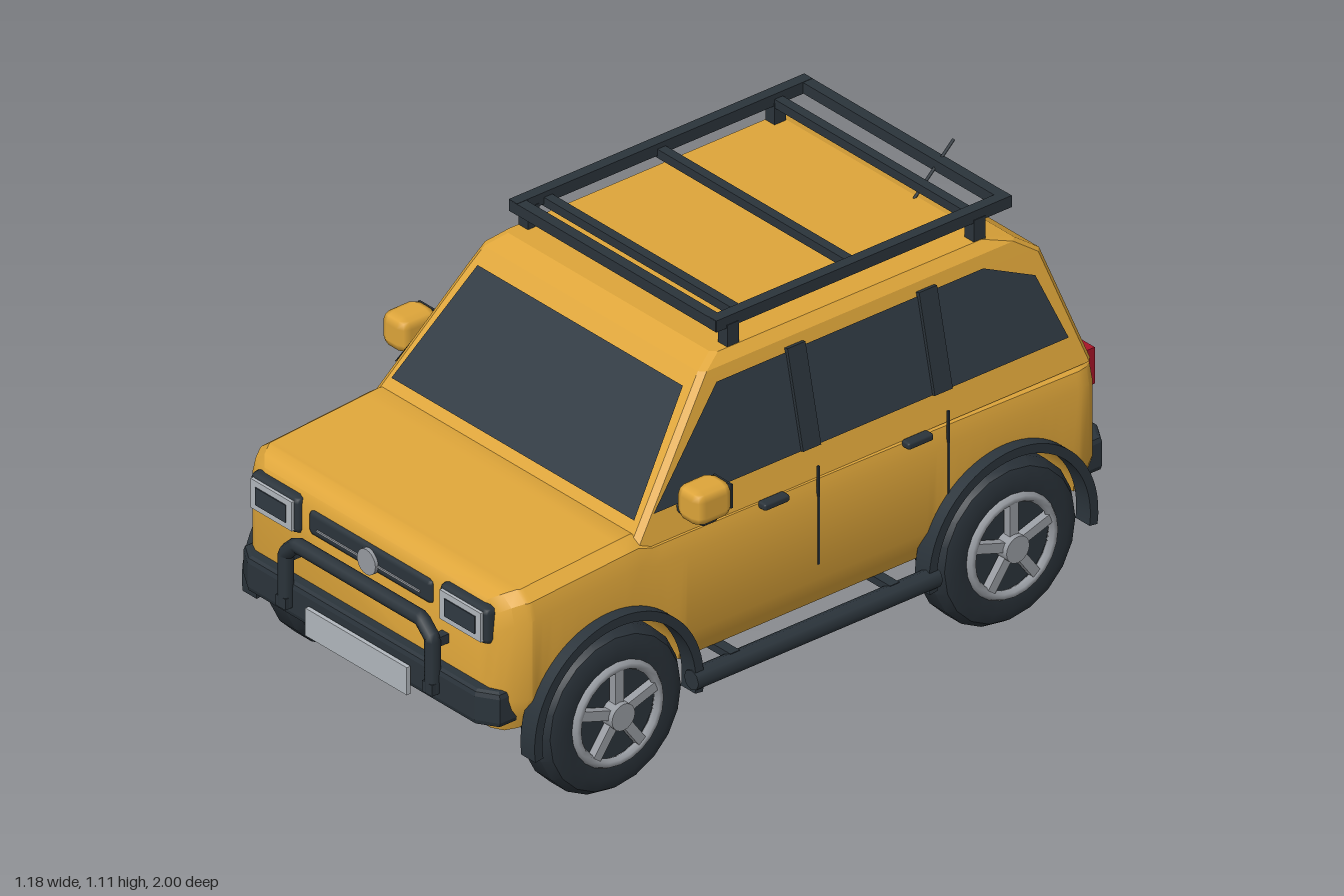
import * as THREE from 'three';
import { toCreasedNormals } from 'three/addons/utils/BufferGeometryUtils.js';
import { RoundedBoxGeometry } from 'three/addons/geometries/RoundedBoxGeometry.js';

const make = (name, color) => {
  const m = new THREE.MeshStandardMaterial({ color });
  m.name = name;
  return m;
};

// Skin a list of equal-length closed rings and cap both ends
function loft(rings, crease = 0.5) {
  const n = rings[0].length, pos = rings.flat(2), idx = [];
  rings.slice(1).forEach((_, r) => {
    for (let i = 0; i < n; i++) {
      const a = r * n + i, b = r * n + (i + 1) % n;
      idx.push(a, b, b + n, a, b + n, a + n);
    }
  });
  const last = (rings.length - 1) * n;
  for (let i = 1; i < n - 1; i++) idx.push(0, i + 1, i, last, last + i, last + i + 1);
  // Make the faces point outwards whatever the ring direction
  const p = i => new THREE.Vector3().fromArray(pos, i * 3);
  let volume = 0;
  for (let i = 0; i < idx.length; i += 3) volume += p(idx[i]).dot(p(idx[i + 1]).cross(p(idx[i + 2])));
  if (volume < 0) idx.reverse();
  const g = new THREE.BufferGeometry();
  g.setAttribute('position', new THREE.Float32BufferAttribute(pos, 3));
  g.setIndex(idx);
  return toCreasedNormals(g, crease);
}

// Flat convex pane through 3D corner points
function pane(pts) {
  const g = new THREE.BufferGeometry(), idx = [];
  g.setAttribute('position', new THREE.Float32BufferAttribute(pts.flat(), 3));
  for (let i = 1; i < pts.length - 1; i++) idx.push(0, i, i + 1);
  g.setIndex(idx);
  g.computeVertexNormals();
  return g;
}

export function createModel() {
  const paint = make('yellow paint', 0xdfa63a), trim = make('dark trim', 0x2b343b);
  const rubber = make('tyre rubber', 0x293138), glass = make('dark glass', 0x303a43);
  const alloy = make('grey alloy', 0x989ca2), pale = make('pale grey', 0xb2b8be);
  const red = make('red lamp', 0xa81428), white = make('white lamp', 0xd8dadc);
  glass.side = THREE.DoubleSide;

  const car = new THREE.Group();
  car.name = 'offRoadCar';
  const add = (name, geo, mat, x = 0, y = 0, z = 0, parent = car) => {
    const m = new THREE.Mesh(geo, mat);
    m.name = name;
    m.position.set(x, y, z);
    parent.add(m);
    return m;
  };
  const box = (name, mat, w, h, d, x, y, z, parent) => add(name, new THREE.BoxGeometry(w, h, d), mat, x, y, z, parent);
  const rod = (name, mat, a, b, r) => {
    const A = new THREE.Vector3(...a), B = new THREE.Vector3(...b), dir = B.clone().sub(A);
    const m = add(name, new THREE.CylinderGeometry(r, r, dir.length(), 8), mat);
    m.position.copy(A.add(B).multiplyScalar(0.5));
    m.quaternion.setFromUnitVectors(new THREE.Vector3(0, 1, 0), dir.normalize());
    return m;
  };

  // Lower body: sections along z, floor raised over the wheels
  const axles = [0.62, -0.615], axleY = 0.227, archR = 0.245;
  const stations = [[0.935, 0.43, 0.27, 0.572], [0.922, 0.457, 0.25, 0.6], [0.9, 0.483, 0.245, 0.617], [0.872, 0.5, 0.25, 0.626]];
  const topAt = z => z > 0.52 ? 0.65 - (z - 0.52) * 0.07 : 0.635 + Math.min(0, z) * 0.015;
  axles.forEach(c => {
    for (let i = 0; i <= 14; i++) {
      const a = THREE.MathUtils.degToRad(7 + i * 166 / 14), z = c + archR * Math.cos(a);
      stations.push([z, 0.505, axleY + archR * Math.sin(a), topAt(z)]);
    }
  });
  stations.push([-0.885, 0.5, 0.26, 0.622], [-0.912, 0.48, 0.265, 0.618], [-0.928, 0.45, 0.275, 0.6]);
  const bodyRing = ([z, w, bottom, top]) => {
    const side = [0.24, 0.29, 0.34, top - 0.07].map((y, i) => {
      const h = Math.max(y, bottom + i * 0.001);
      return [w - Math.max(0, 0.34 - h) * 0.4, h];
    });
    side.push([w - 0.012, top - 0.025], [w - 0.045, top]);
    return [...side.map(([x, y]) => [x, y, z]), ...side.reverse().map(([x, y]) => [-x, y, z])];
  };
  add('lowerBody', loft(stations.map(bodyRing)), paint);

  // Cabin: chamfered rectangles stacked in y
  const cabin = [[0.61, 0.54, -0.908, 0.49], [0.92, 0.29, -0.808, 0.42], [0.968, 0.25, -0.74, 0.408], [0.993, 0.195, -0.66, 0.385]];
  const c = 0.015;
  add('cabin', loft(cabin.map(([y, f, b, w]) => [
    [w, f - c], [w - c, f], [c - w, f], [-w, f - c], [-w, b + c], [c - w, b], [w - c, b], [w, b + c],
  ].map(([x, z]) => [x, y, z])), 0.3), paint);

  // Glass
  const frontZ = y => 0.545 - (y - 0.61) * 0.806, backZ = y => -0.913 + (y - 0.61) * 0.3226;
  const sideX = y => 0.495 - (y - 0.61) * 0.2258;
  const trapezoid = (z, y0, w0, y1, w1) => pane([[-w0, y0, z(y0)], [w0, y0, z(y0)], [w1, y1, z(y1)], [-w1, y1, z(y1)]]);
  add('windscreen', trapezoid(frontZ, 0.672, 0.447, 0.934, 0.378), glass);
  add('rearWindow', trapezoid(backZ, 0.665, 0.435, 0.865, 0.395), glass);
  rod('rearWiper', trim, [0, 0.66, -0.907], [0.16, 0.725, -0.885], 0.005);

  const sideGlass = [[0.46, 0.69], [0.215, 0.938], [-0.62, 0.938], [-0.77, 0.87], [-0.84, 0.69]];
  for (const s of [1, -1]) {
    add('sideWindows', pane(sideGlass.map(([z, y]) => [s * sideX(y), y, z])), glass);
    for (const z of [-0.03, -0.442]) {
      box('windowPillar', trim, 0.012, 0.265, 0.056, s * (sideX(0.82) + 0.003), 0.82, z).rotation.z = s * 0.222;
    }
    // Door seams and handles
    box('doorSeam', trim, 0.006, 0.27, 0.006, s * 0.504, 0.515, -0.033);
    box('doorSeam', trim, 0.006, 0.23, 0.006, s * 0.504, 0.535, -0.44);
    for (const z of [0.107, -0.343]) add('doorHandle', new RoundedBoxGeometry(0.03, 0.02, 0.08, 1, 0.007), trim, s * 0.505, 0.606, z);

    // Mirrors
    add('mirrorHousing', new RoundedBoxGeometry(0.09, 0.095, 0.115, 1, 0.026), paint, s * 0.543, 0.72, 0.357);
    box('mirrorGlass', trim, 0.066, 0.066, 0.006, s * 0.543, 0.722, 0.299);
    add('mirrorArm', new RoundedBoxGeometry(0.11, 0.026, 0.05, 1, 0.008), trim, s * 0.515, 0.677, 0.36);

    // Running boards
    rod('runningBoard', trim, [s * 0.528, 0.227, 0.385], [s * 0.528, 0.227, -0.38], 0.027);
    for (const z of [0.25, -0.25]) box('boardBracket', trim, 0.09, 0.02, 0.03, s * 0.485, 0.245, z);

    // Headlamps
    add('headlampFrame', new RoundedBoxGeometry(0.182, 0.104, 0.05, 1, 0.018), trim, s * 0.348, 0.538, 0.925);
    box('headlampRim', pale, 0.152, 0.08, 0.012, s * 0.348, 0.538, 0.95);
    box('headlampLens', glass, 0.112, 0.048, 0.008, s * 0.348, 0.538, 0.955);

    // Tail lamps
    box('tailLamp', red, 0.088, 0.1, 0.045, s * 0.412, 0.567, -0.917);
    box('reverseLamp', white, 0.075, 0.018, 0.006, s * 0.412, 0.545, -0.94);
  }

  // Grille and badge disc
  add('grille', new RoundedBoxGeometry(0.456, 0.068, 0.03, 1, 0.014), trim, 0, 0.541, 0.93);
  box('grilleBar', alloy, 0.38, 0.005, 0.006, 0, 0.532, 0.946);
  add('grilleDisc', new THREE.CylinderGeometry(0.034, 0.034, 0.014, 20).rotateX(Math.PI / 2), alloy, 0, 0.533, 0.947);

  // Bumpers: plan shape extruded in height
  const plan = new THREE.Shape([[-0.46, 0.88], [0.46, 0.88], [0.46, 0.93], [0.415, 0.958], [-0.415, 0.958], [-0.46, 0.93]]
    .map(p => new THREE.Vector2(...p)));
  const bumper = new THREE.ExtrudeGeometry(plan, { depth: 0.065, bevelSize: 0.012, bevelThickness: 0.016, bevelSegments: 2 })
    .rotateX(Math.PI / 2);
  add('frontBumper', bumper, trim, 0, 0.353, 0);
  add('rearBumper', bumper, trim, 0, 0.36, -0.012).rotation.y = Math.PI;
  box('frontPlate', pale, 0.374, 0.076, 0.012, 0, 0.298, 0.98);

  // Bull bar
  const barPath = new THREE.CurvePath();
  const barPts = [[-0.27, 0.305], [-0.27, 0.45], [-0.23, 0.488], [0.23, 0.488], [0.27, 0.45], [0.27, 0.305]]
    .map(([x, y]) => new THREE.Vector3(x, y, 0.976));
  for (let i = 0; i < 5; i++) barPath.add(new THREE.LineCurve3(barPts[i], barPts[i + 1]));
  add('bullBar', new THREE.TubeGeometry(barPath, 80, 0.02, 8), trim);
  for (const s of [1, -1]) {
    box('bullBarFoot', trim, 0.036, 0.03, 0.06, s * 0.27, 0.318, 0.963);
    box('bullBarStay', trim, 0.025, 0.025, 0.06, s * 0.27, 0.44, 0.95);
  }

  // Tailgate details and tow hitch
  add('tailgateHandle', new RoundedBoxGeometry(0.1, 0.022, 0.03, 1, 0.008), trim, 0, 0.603, -0.928);
  box('rearPlateFrame', trim, 0.175, 0.07, 0.024, 0, 0.51, -0.936);
  box('rearPlate', pale, 0.145, 0.046, 0.006, 0, 0.51, -0.949);
  box('towHitch', trim, 0.05, 0.03, 0.1, 0, 0.246, -0.95);
  box('towHitchMount', trim, 0.05, 0.06, 0.04, 0, 0.27, -0.915);

  // Roof rack
  for (const s of [1, -1]) {
    box('rackSideRail', trim, 0.03, 0.032, 0.925, s * 0.367, 1.06, -0.28);
    for (const z of [0.132, -0.64]) box('rackPost', trim, 0.034, 0.075, 0.036, s * 0.367, 1.015, z);
  }
  for (const z of [0.168, -0.728]) box('rackEndRail', trim, 0.76, 0.03, 0.03, 0, 1.06, z);
  for (const z of [0.085, -0.27, -0.637]) box('rackCrossbar', trim, 0.72, 0.024, 0.026, 0, 1.05, z);
  rod('aerial', trim, [0.13, 0.99, -0.65], [0.13, 1.108, -0.775], 0.004);

  // Wheels and arch flares, modelled for the +x side and turned for the other
  const tyre = toCreasedNormals(new THREE.LatheGeometry([[0.128, -0.058], [0.175, -0.066], [0.205, -0.055], [0.222, -0.03],
    [0.222, 0.03], [0.205, 0.055], [0.175, 0.066], [0.128, 0.058], [0.128, -0.058]].map(p => new THREE.Vector2(...p)), 20)
    .rotateZ(-Math.PI / 2), 0.6);
  const disc = (r, t) => new THREE.CylinderGeometry(r, r, t, 20).rotateZ(Math.PI / 2);
  const ring = new THREE.TorusGeometry(0.129, 0.013, 6, 24).rotateY(Math.PI / 2);
  const arc = new THREE.Shape();
  arc.absarc(0, 0, 0.265, -0.14, Math.PI + 0.14, false);
  arc.absarc(0, 0, 0.24, Math.PI + 0.14, -0.14, true);
  const flare = toCreasedNormals(new THREE.ExtrudeGeometry(arc, { depth: 0.052, bevelEnabled: false, curveSegments: 18 })
    .rotateY(Math.PI / 2), 0.5);
  for (const s of [1, -1]) for (const z of axles) {
    const wheel = new THREE.Group();
    wheel.name = 'wheel';
    wheel.position.set(s * 0.47, 0.224, z);
    wheel.rotation.y = s > 0 ? 0 : Math.PI;
    car.add(wheel);
    add('tyre', tyre, rubber, 0, 0, 0, wheel);
    add('rimBack', disc(0.13, 0.02), alloy, -0.005, 0, 0, wheel);
    add('rimWell', disc(0.129, 0.02), trim, 0.035, 0, 0, wheel);
    add('rimRing', ring, alloy, 0.062, 0, 0, wheel);
    add('hub', disc(0.036, 0.04), alloy, 0.065, 0, 0, wheel);
    for (let i = 0; i < 5; i++) {
      const spoke = new THREE.Group();
      spoke.name = 'spoke';
      spoke.rotation.x = i * Math.PI * 0.4;
      wheel.add(spoke);
      box('spokeBar', alloy, 0.022, 0.11, 0.026, 0.06, 0.075, 0, spoke);
    }
    const f = add('archFlare', flare, trim, s * 0.487, axleY, z);
    f.rotation.y = s > 0 ? 0 : Math.PI;
  }
  return car;
}
